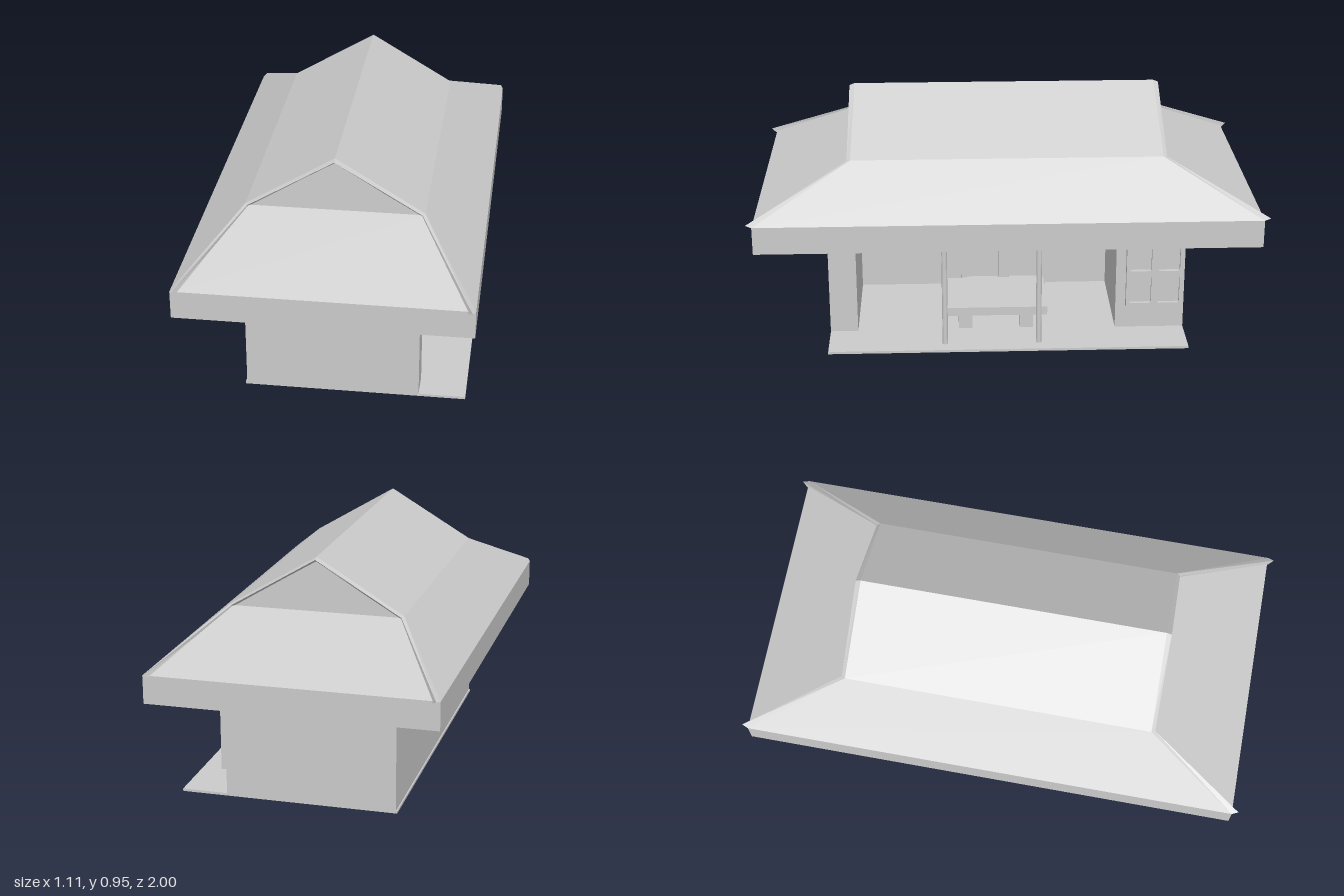
import * as THREE from 'three';

const material = new THREE.MeshStandardMaterial({ color: 0xcccccc, flatShading: true, side: THREE.DoubleSide });

export function createModel() {
  const house = new THREE.Group();
  house.name = 'house';

  const add = (name, geometry, parent = house) => {
    const mesh = new THREE.Mesh(geometry, material);
    mesh.name = name;
    parent.add(mesh);
    return mesh;
  };
  // Box given by its limits on each axis
  const box = (name, [x0, x1], [y0, y1], [z0, z1], parent) =>
    add(name, new THREE.BoxGeometry(x1 - x0, y1 - y0, z1 - z0), parent)
      .position.set((x0 + x1) / 2, (y0 + y1) / 2, (z0 + z1) / 2);
  const outline = (points) => points.map(([a, b]) => new THREE.Vector2(a, b));
  // Floor plan in x and z, extruded between two heights
  const plan = (name, shape, y0, y1) => {
    const geometry = new THREE.ExtrudeGeometry(shape, { depth: y1 - y0, bevelEnabled: false });
    add(name, geometry.rotateX(Math.PI / 2).translate(0, y1, 0));
  };

  // Floor and walls with a deep porch recess on the +x side
  const wallX = 0.335, backX = -0.1, endZ = 0.71, recessFront = 0.6, recessBack = -0.435;
  box('floorSlab', [-0.34, 0.515], [0, 0.01], [-endZ, endZ]);
  plan('walls', new THREE.Shape(outline([
    [-wallX, -endZ], [wallX, -endZ], [wallX, recessBack], [backX, recessBack],
    [backX, recessFront], [wallX, recessFront], [wallX, endZ], [-wallX, endZ],
  ])), 0.01, 0.45);

  // Eaves, open above the porch, with a raised porch ceiling
  const eaveX = 0.555, eaveZ = 0.975;
  const eaves = new THREE.Shape(outline([[-eaveX, -eaveZ], [eaveX, -eaveZ], [eaveX, eaveZ], [-eaveX, eaveZ]]));
  eaves.holes.push(new THREE.Path(outline([
    [backX, recessBack], [backX, recessFront], [wallX, recessFront], [wallX, recessBack],
  ])));
  plan('eaves', eaves, 0.45, 0.56);
  box('porchCeiling', [backX, wallX], [0.53, 0.55], [recessBack, recessFront]);

  // Roof shell: each rib runs along z with a bevelled lip at both ends
  const ribs = [
    { x: eaveX, y: 0.56, z: 0.975, lipX: 0.545, lipY: 0.565, lipZ: 1.0 },
    { x: 0.338, y: 0.745, z: 0.608, lipX: 0.33, lipY: 0.742, lipZ: 0.622 },
    { x: 0, y: 0.948, z: 0.6, lipX: 0, lipY: 0.94, lipZ: 0.62 },
  ];
  const section = (r, side) => {
    const half = (s) => [
      [side * r.x, r.y, s * r.z],
      [side * r.lipX, r.lipY, s * r.lipZ],
      [side * r.lipX * 0.97, r.lipY - 0.012, s * (r.lipZ - 0.02)],
    ];
    return [...half(1).reverse(), ...half(-1)];
  };
  const sections = [
    section(ribs[0], 1), section(ribs[1], 1), section(ribs[2], 1),
    section(ribs[1], -1), section(ribs[0], -1),
  ];
  const vertices = [];
  for (let i = 0; i < sections.length - 1; i++) {
    for (let j = 0; j < 5; j++) {
      const [a, b, c, d] = [sections[i][j], sections[i][j + 1], sections[i + 1][j + 1], sections[i + 1][j]];
      vertices.push(...a, ...b, ...c, ...a, ...c, ...d);
    }
  }
  const polygonMesh = (name, positions) => {
    const geometry = new THREE.BufferGeometry();
    geometry.setAttribute('position', new THREE.Float32BufferAttribute(positions, 3));
    geometry.computeVertexNormals();
    add(name, geometry);
  };
  polygonMesh('roofShell', vertices);

  // Sloping hip and upright gable at each end
  for (const s of [1, -1]) {
    const a = [-s * 0.54, 0.56, s * eaveZ], b = [s * 0.54, 0.56, s * eaveZ];
    const c = [s * 0.33, 0.74, s * 0.612], d = [-s * 0.33, 0.74, s * 0.612];
    const top = [0, 0.938, s * 0.605];
    polygonMesh(s > 0 ? 'frontHip' : 'rearHip', [...a, ...b, ...c, ...a, ...c, ...d]);
    polygonMesh(s > 0 ? 'frontGable' : 'rearGable', [...d, ...c, ...top]);
  }

  // Porch posts
  for (const z of [0.25, -0.12]) {
    add('porchPost', new THREE.CylinderGeometry(0.011, 0.011, 0.44, 12)).position.set(0.455, 0.23, z);
  }

  // Panelled frame facing +x, openings as [z0, z1, y0, y1]
  const roundedHole = ([z0, z1, y0, y1]) => {
    const r = 0.008, hole = new THREE.Path();
    const x0 = -z1, x1 = -z0;
    hole.absarc(x1 - r, y1 - r, r, 0, Math.PI / 2);
    hole.absarc(x0 + r, y1 - r, r, Math.PI / 2, Math.PI);
    hole.absarc(x0 + r, y0 + r, r, Math.PI, Math.PI * 1.5);
    hole.absarc(x1 - r, y0 + r, r, Math.PI * 1.5, Math.PI * 2);
    hole.closePath();
    return hole;
  };
  const panelled = (name, x, depth, [z0, z1], [y0, y1], openings) => {
    const group = new THREE.Group();
    group.name = name;
    house.add(group);
    const shape = new THREE.Shape(outline([[-z1, y0], [-z0, y0], [-z0, y1], [-z1, y1]]));
    shape.holes.push(...openings.map(roundedHole));
    const geometry = new THREE.ExtrudeGeometry(shape, { depth, bevelEnabled: false, curveSegments: 4 });
    add(name + 'Frame', geometry.rotateY(Math.PI / 2).translate(x, 0, 0), group);
    box(name + 'Panels', [x, x + depth * 0.3], [y0 + 0.01, y1 - 0.01], [z0 + 0.01, z1 - 0.01], group);
  };

  // Four-pane window
  const panes = [];
  for (const z of [[-0.575, -0.487], [-0.688, -0.6]]) {
    for (const y of [[0.125, 0.24], [0.265, 0.385]]) panes.push([...z, ...y]);
  }
  panelled('window', wallX, 0.023, [-0.7, -0.475], [0.105, 0.4], panes);

  // Pair of panelled doors at the back of the porch
  for (const [z0, z1] of [[0.002, 0.18], [-0.178, 0]]) {
    panelled('door', backX, 0.02, [z0, z1], [0.01, 0.525],
      [[z0 + 0.02, z1 - 0.02, 0.045, 0.3], [z0 + 0.02, z1 - 0.02, 0.345, 0.5]]);
  }

  // Low porch bench
  const bench = new THREE.Group();
  bench.name = 'bench';
  house.add(bench);
  box('benchTop', [0.07, 0.355], [0.08, 0.115], [-0.16, 0.25], bench);
  for (const x of [0.1, 0.27]) {
    for (const z of [-0.105, 0.14]) {
      box('benchLeg', [x, x + 0.055], [0.01, 0.08], [z, z + 0.055], bench);
    }
  }

  return house;
}
